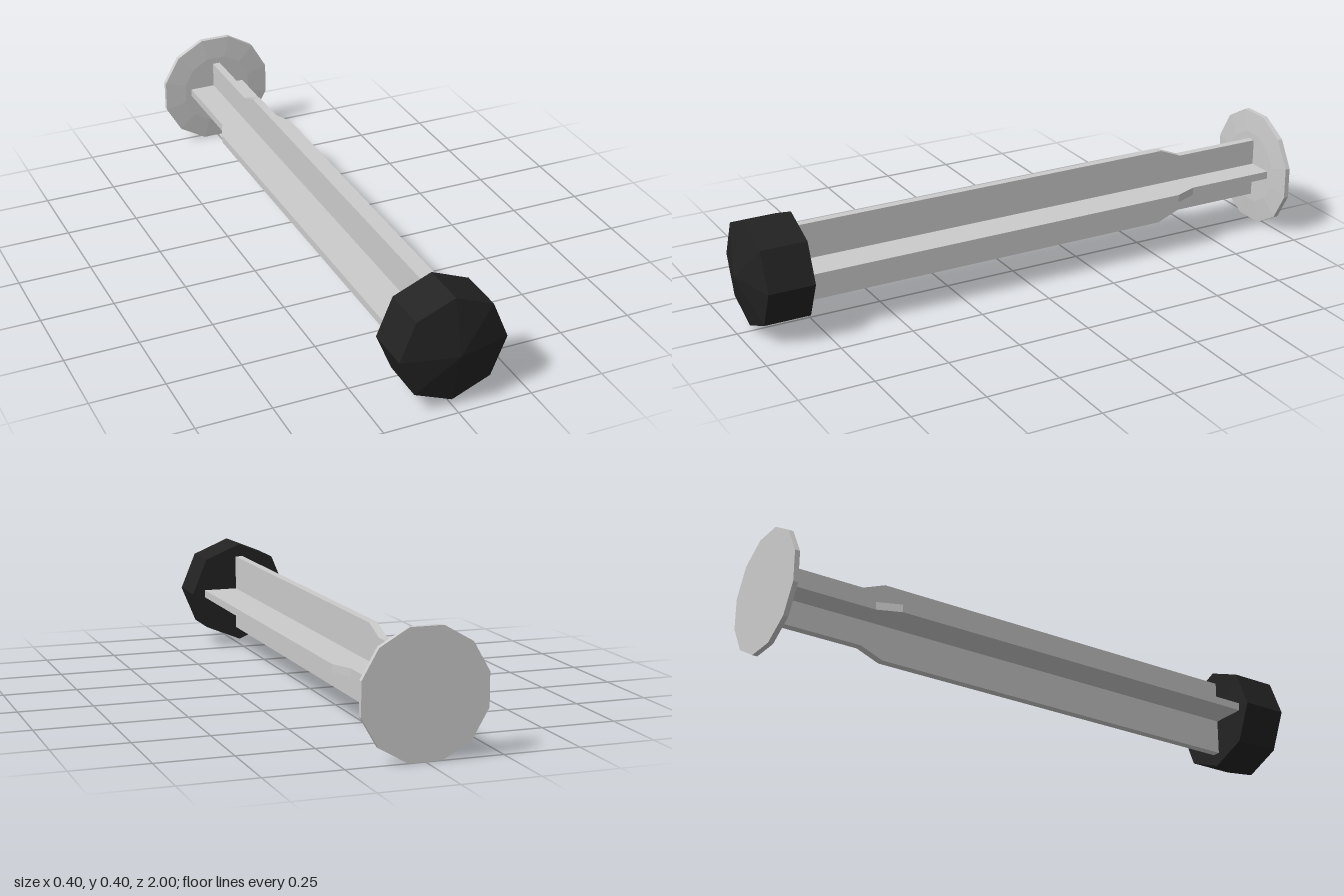
import * as THREE from 'three';

const CENTER_Y = 0.201;

function part(name, geometry, color = 0xcccccc) {
  const material = new THREE.MeshStandardMaterial({ color, flatShading: true });
  const mesh = new THREE.Mesh(geometry, material);
  mesh.name = name;
  return mesh;
}

// Faceted solid of revolution about z, from [radius, z] points going forward
function turned(profile, sides, start = 0) {
  const points = profile.map(([r, z]) => new THREE.Vector2(r, z));
  return new THREE.LatheGeometry(points, sides, start).rotateX(Math.PI / 2);
}

export function createModel() {
  const model = new THREE.Group();
  model.name = 'plunger';

  // Rod: two crossed fins that narrow towards the thumb plate
  const half = [[0.135, 0.8], [0.135, -0.58], [0.103, -0.66], [0.103, -0.98]];
  const mirrored = half.map(([x, z]) => [-x, z]).reverse();
  const outline = new THREE.Shape([...half, ...mirrored].map(([x, z]) => new THREE.Vector2(x, z)));
  const thickness = 0.027;
  const rod = new THREE.Group();
  rod.name = 'rod';
  for (const [name, roll] of [['horizontalFin', 0], ['verticalFin', Math.PI / 2]]) {
    const fin = new THREE.ExtrudeGeometry(outline, { depth: thickness, bevelEnabled: false });
    fin.translate(0, 0, -thickness / 2).rotateX(Math.PI / 2).rotateZ(roll);
    rod.add(part(name, fin));
  }
  model.add(rod);

  // Twelve-sided thumb plate, thinner at its rim
  const plate = [[0, -1], [0.208, -1], [0.208, -0.983], [0.13, -0.977], [0, -0.977]];
  model.add(part('thumbPlate', turned(plate, 12, Math.PI / 12)));

  // Eight-sided dark stopper with a shallow conical tip
  const stopper = [[0, 0.797], [0.181, 0.797], [0.181, 0.955], [0, 1]];
  model.add(part('stopper', turned(stopper, 8), 0x222222));

  for (const child of model.children) child.position.y = CENTER_Y;
  return model;
}
